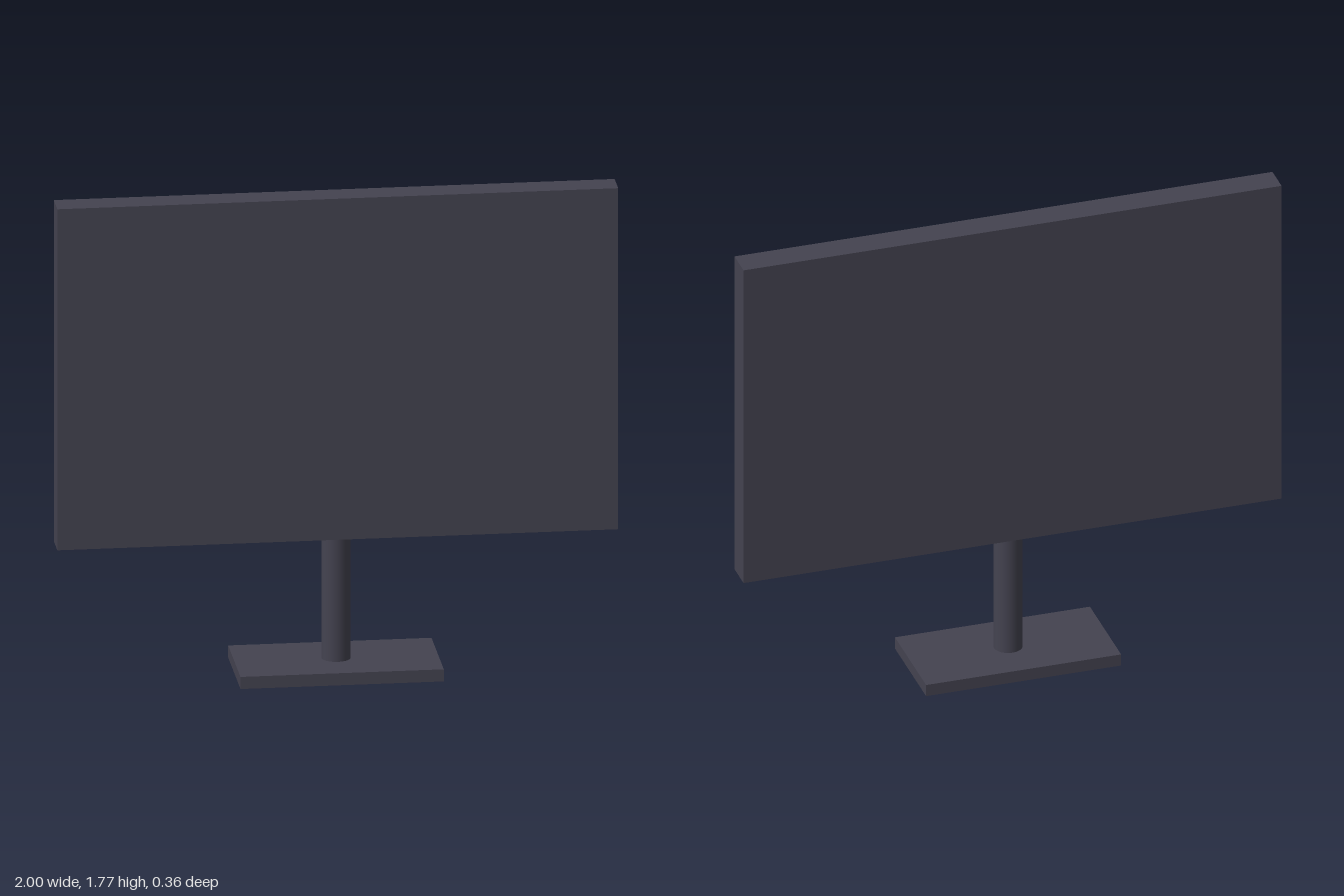
import * as THREE from 'three';

export function createModel() {
  const model = new THREE.Group();
  model.name = 'monitor';
  const charcoal = new THREE.MeshStandardMaterial({ color: 0x444350 });
  charcoal.name = 'charcoal';

  // Adds a part centred on the vertical axis, spanning bottom to top
  const addPart = (name, geometry, bottom, top) => {
    const mesh = new THREE.Mesh(geometry, charcoal);
    mesh.name = name;
    mesh.position.y = (bottom + top) / 2;
    model.add(mesh);
  };

  const baseTop = 0.045, panelBottom = 0.5, panelTop = 1.77;

  // Flat rectangular foot
  addPart('base', new THREE.BoxGeometry(0.725, baseTop, 0.362), 0, baseTop);
  // Round post between foot and panel
  addPart('post', new THREE.CylinderGeometry(0.052, 0.052, panelBottom - baseTop, 32), baseTop, panelBottom);
  // Plain slab display
  addPart('displayPanel', new THREE.BoxGeometry(2, panelTop - panelBottom, 0.106), panelBottom, panelTop);

  return model;
}
